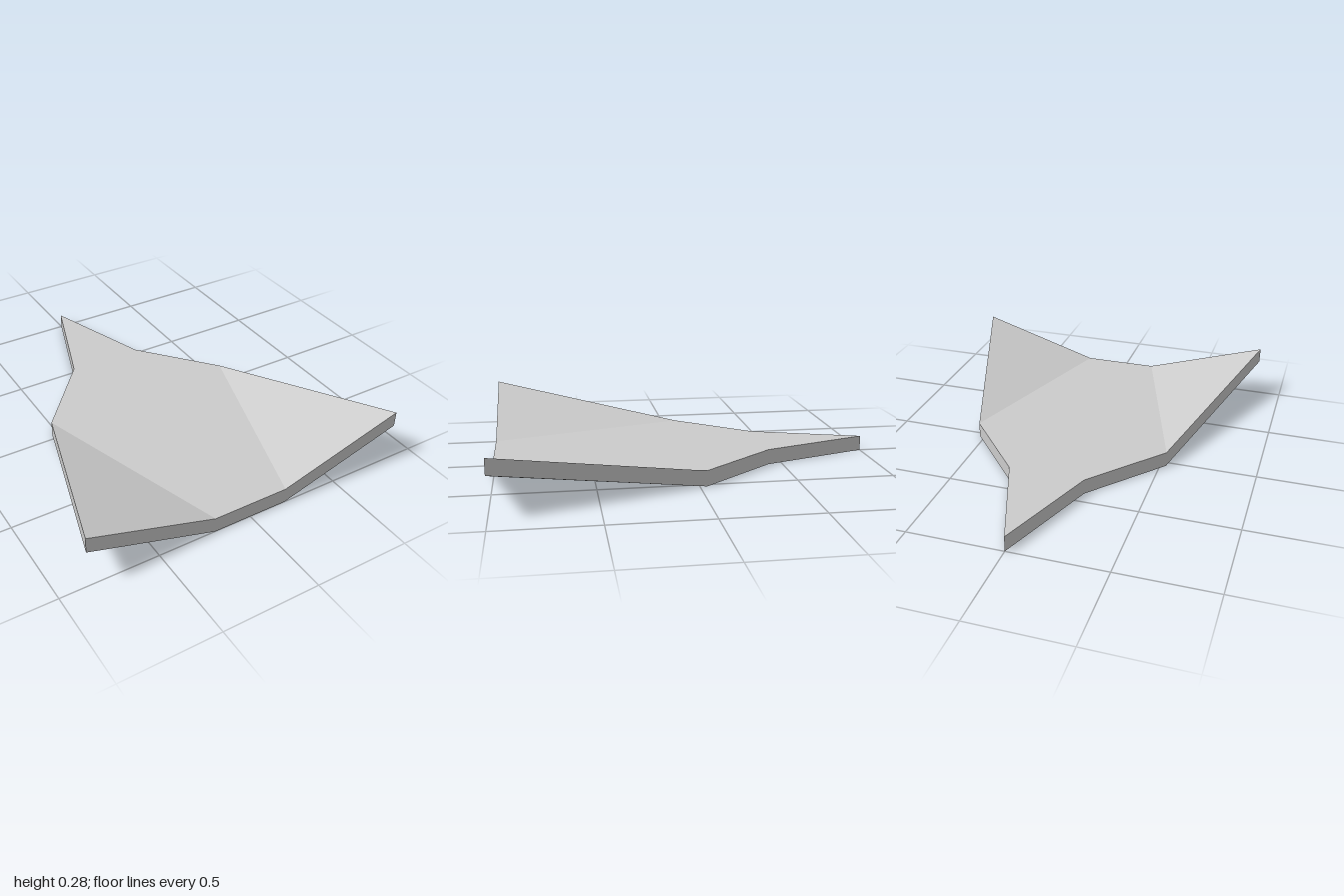
import * as THREE from 'three';

const THICKNESS = 0.08;

// Slab over a counter-clockwise outline of [x, y, z] corners; edges listed in open get no wall
function slab(name, corners, open, material) {
  const low = corners.map((c) => new THREE.Vector3(...c));
  const high = low.map((p) => p.clone().setY(p.y + THICKNESS));
  const points = [];
  const plan = low.map((p) => new THREE.Vector2(p.x, -p.z));

  // Top and underside
  for (const [a, b, c] of THREE.ShapeUtils.triangulateShape(plan, [])) {
    points.push(high[a], high[b], high[c], low[a], low[c], low[b]);
  }
  // Rim walls
  low.forEach((_, i) => {
    if (open.includes(i)) return;
    const j = (i + 1) % low.length;
    points.push(low[i], low[j], high[j], low[i], high[j], high[i]);
  });

  const geometry = new THREE.BufferGeometry().setFromPoints(points);
  geometry.computeVertexNormals();
  const mesh = new THREE.Mesh(geometry, material);
  mesh.name = name;
  return mesh;
}

export function createModel() {
  const group = new THREE.Group();
  group.name = 'hull';
  const grey = new THREE.MeshStandardMaterial({ color: 0xcccccc });
  grey.name = 'light grey';

  // Flat centre with a pointed tail; the two crease edges join the wings
  group.add(slab('centrePanel', [
    [0, 0, -1], [-0.2, 0, -0.425], [-0.53, 0, -0.035], [-0.2, 0, 1],
    [0.2, 0, 1], [0.53, 0, -0.035], [0.2, 0, -0.425],
  ], [2, 4], grey));

  // Wings folded up along the creases
  group.add(slab('leftWing', [[0.53, 0, -0.035], [0.2, 0, 1], [0.862, 0.203, 1]], [0], grey));
  group.add(slab('rightWing', [[-0.2, 0, 1], [-0.53, 0, -0.035], [-0.862, 0.203, 1]], [0], grey));

  return group;
}
